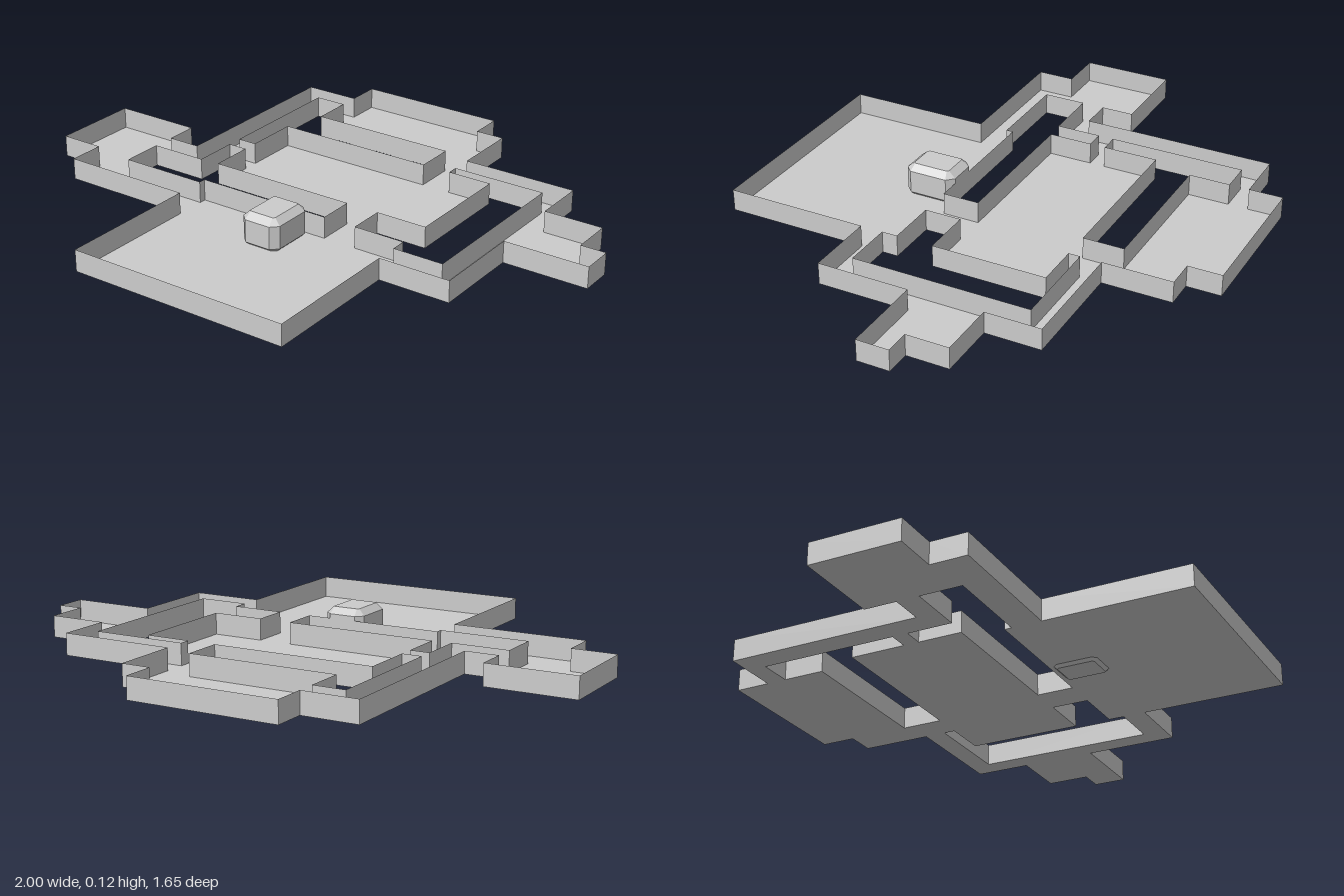
import * as THREE from 'three';

const FLOOR_Y = 0.01, WALL_TOP = 0.087;

// Plan outlines as [x, z] corners
const OUTER = [
  [-0.36, -0.83], [0.18, -0.83], [0.18, -0.71], [0.285, -0.71], [0.285, -0.465], [0.7, -0.465],
  [0.7, -0.27], [0.91, -0.27], [0.91, -0.12], [1, -0.12], [1, -0.005], [0.7, -0.005],
  [0.7, 0.32], [0.445, 0.32], [0.445, 0.825], [-0.36, 0.825], [-0.36, 0.315], [-0.84, 0.315],
  [-0.84, 0.185], [-1, 0.185], [-1, -0.135], [-0.68, -0.135], [-0.68, -0.02], [-0.56, -0.02],
  [-0.56, -0.71], [-0.36, -0.71],
];
const GAPS = {
  leftGap: [
    [-0.68, 0.06], [-0.475, 0.06], [-0.475, -0.1], [-0.405, -0.1], [-0.405, 0.055], [0.14, 0.055],
    [0.14, 0.185], [-0.36, 0.185], [-0.36, 0.21], [-0.68, 0.21],
  ],
  backGap: [
    [-0.475, -0.64], [-0.36, -0.64], [-0.36, -0.495], [0.18, -0.495], [0.18, -0.35], [-0.405, -0.35],
    [-0.405, -0.155], [-0.475, -0.155],
  ],
  rightGap: [
    [0.285, -0.39], [0.625, -0.39], [0.625, 0.24], [0.445, 0.24], [0.445, 0.185], [0.26, 0.185],
    [0.26, 0.055], [0.445, 0.055], [0.445, -0.35], [0.285, -0.35],
  ],
};

// Side faces joining a list of equal closed rings, bottom to top
function loftGeometry(rings, capped) {
  const pos = [], n = rings[0].length;
  const tri = (...pts) => pts.forEach((p) => pos.push(...p));
  for (let r = 0; r + 1 < rings.length; r++) {
    for (let i = 0; i < n; i++) {
      const j = (i + 1) % n, lo = rings[r], hi = rings[r + 1];
      tri(lo[i], hi[i], hi[j]);
      tri(lo[i], hi[j], lo[j]);
    }
  }
  if (capped) {
    const bottom = rings[0], top = rings[rings.length - 1];
    for (let i = 1; i + 1 < n; i++) {
      tri(bottom[0], bottom[i], bottom[i + 1]);
      tri(top[0], top[i + 1], top[i]);
    }
  }
  const g = new THREE.BufferGeometry();
  g.setAttribute('position', new THREE.Float32BufferAttribute(pos, 3));
  g.computeVertexNormals();
  return g;
}

const ringAt = (plan, y) => plan.map(([x, z]) => [x, y, z]);
const toVectors = (plan) => plan.map(([x, z]) => new THREE.Vector2(x, -z));

// Rectangle with cut corners, clockwise seen from above
function cutRect(hx, hz, c, y) {
  return ringAt([
    [-hx + c, -hz], [hx - c, -hz], [hx, -hz + c], [hx, hz - c],
    [hx - c, hz], [-hx + c, hz], [-hx, hz - c], [-hx, -hz + c],
  ], y);
}

export function createModel() {
  const model = new THREE.Group();
  const mat = new THREE.MeshStandardMaterial({ color: 0xcccccc, flatShading: true, side: THREE.DoubleSide });
  const add = (name, geometry) => {
    const mesh = new THREE.Mesh(geometry, mat);
    mesh.name = name;
    model.add(mesh);
    return mesh;
  };

  // Rooms and corridors share one flat floor
  const shape = new THREE.Shape(toVectors(OUTER));
  for (const gap of Object.values(GAPS)) shape.holes.push(new THREE.Path(toVectors(gap)));
  add('floor', new THREE.ShapeGeometry(shape).rotateX(-Math.PI / 2).translate(0, FLOOR_Y, 0));

  // Thin walls along every edge of the floor
  const wall = (plan) => loftGeometry([ringAt(plan, FLOOR_Y), ringAt(plan, WALL_TOP)], false);
  add('outerWall', wall(OUTER));
  for (const [name, gap] of Object.entries(GAPS)) add(name + 'Wall', wall(gap));

  // Bevelled block standing in the front room, poking slightly through the floor
  const block = add('bevelledBlock', loftGeometry([
    cutRect(0.05, 0.067, 0.006, 0),
    cutRect(0.073, 0.093, 0.025, 0.022),
    cutRect(0.073, 0.093, 0.025, 0.102),
    cutRect(0.05, 0.067, 0.006, 0.124),
  ], true));
  block.position.set(0.009, 0, 0.28);
  return model;
}
